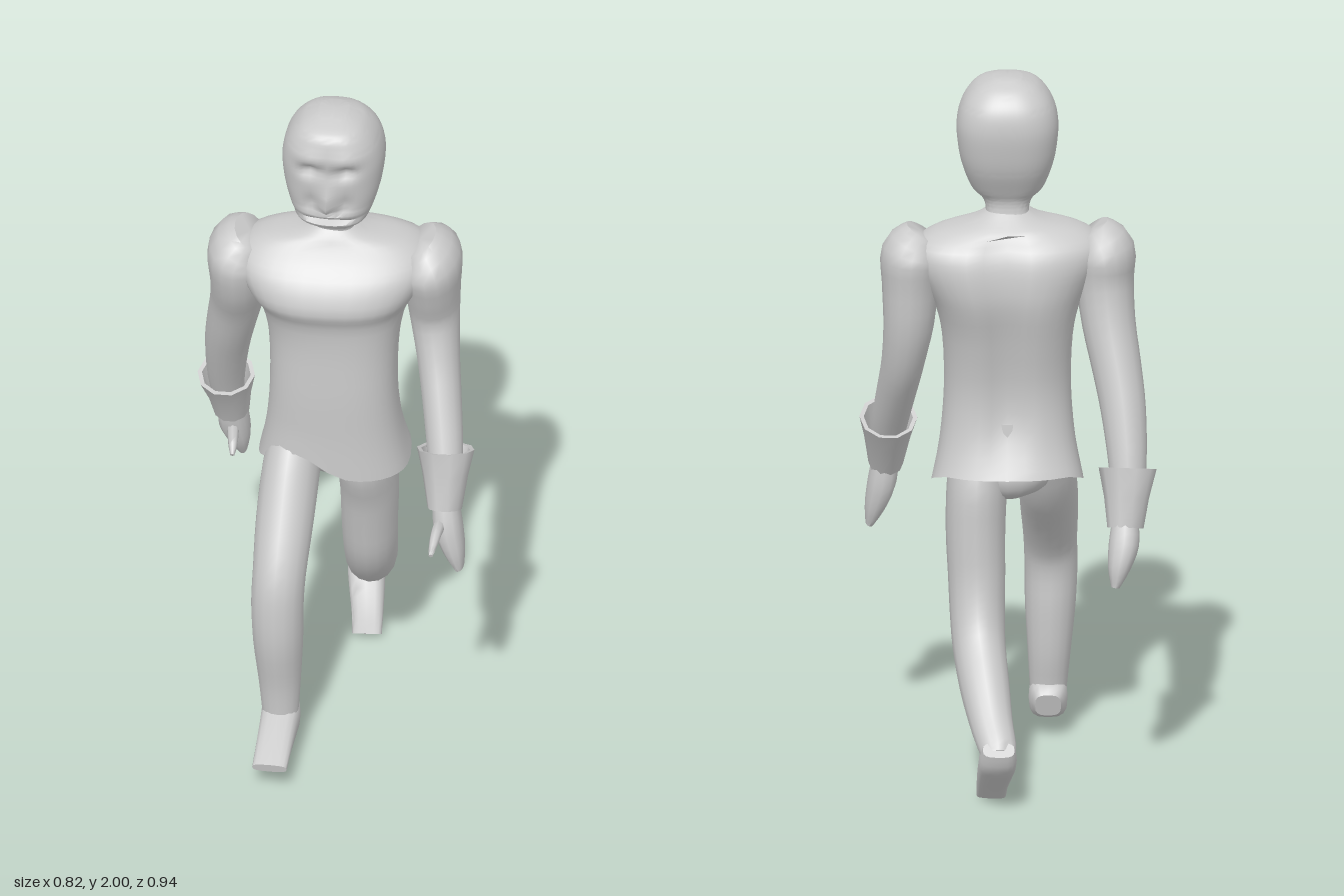
import * as THREE from 'three';
import { toCreasedNormals } from 'three/addons/utils/BufferGeometryUtils.js';

const material = new THREE.MeshStandardMaterial({ color: 0xcccccc });
const openMaterial = new THREE.MeshStandardMaterial({ color: 0xcccccc, side: THREE.DoubleSide });
const bump = (d, width) => Math.exp(-((d / width) ** 2));

// Smoothly resample cross-sections [x, y, z, half width, half depth]
function refine(rows, sub) {
  const out = [];
  for (let i = 0; i < rows.length - 1; i++) {
    const [a, b, c, d] = [-1, 0, 1, 2].map(k => rows[THREE.MathUtils.clamp(i + k, 0, rows.length - 1)]);
    for (let s = 0; s < sub; s++) {
      const t = s / sub;
      out.push(b.map((_, k) => b[k] + 0.5 * t * (c[k] - a[k] + t * (2 * a[k] - 5 * b[k] + 4 * c[k] - d[k]
        + t * (3 * (b[k] - c[k]) + d[k] - a[k])))));
    }
  }
  out.push(rows[rows.length - 1]);
  return out;
}

// Skin over a chain of superellipse sections; axis fixes the ring direction, deform moves vertices
function loft(name, rows, { axis, power = 2, segs = 16, sub = 3, open = false, crease = 0.9, deform } = {}) {
  const sections = refine(rows, sub);
  const last = sections.length - 1;
  const at = i => new THREE.Vector3(...sections[THREE.MathUtils.clamp(i, 0, last)].slice(0, 3));
  const position = [], index = [];
  const addRing = (i, scale) => {
    const t = axis ? new THREE.Vector3(...axis).normalize() : at(i + 1).sub(at(i - 1)).normalize();
    const side = new THREE.Vector3(1, 0, 0).addScaledVector(t, -t.x).normalize();
    const depth = side.clone().cross(t);
    const [, , , w, d] = sections[i];
    for (let j = 0; j < segs; j++) {
      const a = (j / segs) * Math.PI * 2, c = Math.cos(a), s = Math.sin(a);
      const p = at(i)
        .addScaledVector(side, scale * w * Math.sign(c) * Math.abs(c) ** (2 / power))
        .addScaledVector(depth, scale * d * Math.sign(s) * Math.abs(s) ** (2 / power));
      if (deform) deform(p);
      position.push(p.x, p.y, p.z);
    }
  };
  if (!open) addRing(0, 0);
  for (let i = 0; i <= last; i++) addRing(i, 1);
  if (!open) addRing(last, 0);
  const rings = position.length / 3 / segs;
  for (let i = 0; i < rings - 1; i++) {
    for (let j = 0; j < segs; j++) {
      const a = i * segs + j, b = i * segs + (j + 1) % segs;
      index.push(a, a + segs, b, b, a + segs, b + segs);
    }
  }
  const geo = new THREE.BufferGeometry();
  geo.setAttribute('position', new THREE.Float32BufferAttribute(position, 3));
  geo.setIndex(index);
  const mesh = new THREE.Mesh(toCreasedNormals(geo, crease), open ? openMaterial : material);
  mesh.name = name;
  return mesh;
}

// Horizontal section from height, half width, front z and back z
const level = ([y, w, front, back]) => [0, y, (front + back) / 2, w, (front - back) / 2];

function shapeFace(p) {
  if (p.z < 0.04 || p.y < 1.66) return;
  const x = Math.abs(p.x);
  const noseLength = THREE.MathUtils.smoothstep(p.y, 1.725, 1.745) * (1 - THREE.MathUtils.smoothstep(p.y, 1.745, 1.86));
  p.z += 0.03 * bump(x, 0.022) * noseLength;
  p.z -= 0.024 * bump(x - 0.05, 0.027) * bump(p.y - 1.865, 0.02);
  p.z += 0.008 * bump(x - 0.05, 0.05) * bump(p.y - 1.91, 0.025);
  p.z -= 0.012 * bump(x - 0.045, 0.02) * bump(p.y - 1.755, 0.03);
  p.z += 0.012 * bump(x, 0.07) * (bump(p.y - 1.715, 0.009) + bump(p.y - 1.685, 0.01));
  p.z -= 0.018 * bump(x, 0.08) * bump(p.y - 1.7, 0.007);
}

function shapeTunic(p) {
  const hem = THREE.MathUtils.clamp((1.02 - p.y) / 0.19, 0, 1);
  const upper = THREE.MathUtils.smoothstep(p.y, 1.25, 1.45);
  // Hem pulled up over the forward thigh and slightly at the back
  p.y += hem * (p.z > 0 ? 0.075 * bump(p.x + 0.09, 0.09) * Math.min(1, p.z / 0.08) : 0.045 * Math.min(1, -p.z / 0.12));
  // Spine groove and slight shoulder twist
  if (p.z < -0.04) p.z += 0.03 * bump(p.x, 0.045) * (1 - hem) * (p.y < 1.56 ? 1 : 0);
  p.z -= upper * 0.07 * p.x;
}

export function createModel() {
  const model = new THREE.Group();
  const add = (...args) => model.add(loft(...args));

  // Head and neck
  add('head', [
    [1.56, 0.075, 0.06, -0.065], [1.615, 0.06, 0.055, -0.05], [1.65, 0.07, 0.09, -0.05],
    [1.68, 0.1, 0.128, -0.065], [1.74, 0.123, 0.137, -0.095], [1.8, 0.136, 0.142, -0.112],
    [1.87, 0.14, 0.147, -0.121], [1.93, 0.124, 0.144, -0.11], [1.975, 0.088, 0.125, -0.075],
    [1.998, 0.04, 0.06, -0.03],
  ].map(level), { axis: [0, 1, 0], power: 2.6, segs: 48, sub: 6, crease: 1.2, deform: shapeFace });

  // Tunic, open at the hem
  add('tunic', [
    [0.83, 0.21, 0.145, -0.16], [0.95, 0.187, 0.145, -0.13], [1.1, 0.175, 0.15, -0.115],
    [1.25, 0.18, 0.15, -0.14], [1.35, 0.2, 0.16, -0.165], [1.41, 0.23, 0.185, -0.172],
    [1.48, 0.265, 0.16, -0.165], [1.53, 0.26, 0.115, -0.145], [1.57, 0.2, 0.085, -0.105],
    [1.595, 0.1, 0.07, -0.075], [1.62, 0.055, 0.05, -0.045],
  ].map(level), { axis: [0, 1, 0], power: 2.5, segs: 36, open: true, deform: shapeTunic });

  // Pelvis under the tunic
  add('pelvis', [
    [0.79, 0.05, 0.05, -0.06], [0.83, 0.12, 0.09, -0.11], [0.92, 0.165, 0.11, -0.11], [1.02, 0.16, 0.1, -0.1],
  ].map(level), { axis: [0, 1, 0], segs: 20 });

  // Left arm swings forward
  add('leftSleeve', [
    [0.235, 1.555, -0.02, 0.05, 0.07], [0.262, 1.5, -0.025, 0.085, 0.125], [0.268, 1.41, -0.035, 0.078, 0.11],
    [0.272, 1.3, -0.045, 0.07, 0.085], [0.287, 1.18, -0.01, 0.06, 0.078], [0.306, 1.07, 0.05, 0.055, 0.068],
    [0.325, 0.95, 0.12, 0.05, 0.055], [0.335, 0.84, 0.18, 0.04, 0.045],
  ]);
  add('leftCuff', [
    [0.335, 0.81, 0.195, 0.048, 0.055], [0.331, 0.9, 0.157, 0.064, 0.072], [0.328, 0.965, 0.13, 0.08, 0.092],
    [0.328, 0.964, 0.131, 0.068, 0.08], [0.333, 0.86, 0.175, 0.045, 0.05],
  ], { axis: [-0.03, 0.9, -0.38], segs: 10, sub: 1, open: true });
  add('leftHand', [
    [0.335, 0.84, 0.185, 0.035, 0.042], [0.345, 0.76, 0.198, 0.04, 0.056],
    [0.365, 0.685, 0.208, 0.029, 0.05], [0.38, 0.632, 0.214, 0.012, 0.034],
  ], { power: 2.4, segs: 12 });
  add('leftThumb', [
    [0.328, 0.765, 0.2, 0.018, 0.026], [0.325, 0.78, 0.26, 0.016, 0.02],
    [0.322, 0.772, 0.31, 0.013, 0.014], [0.32, 0.758, 0.355, 0.006, 0.006],
  ], { segs: 8 });

  // Right arm swings back
  add('rightSleeve', [
    [-0.235, 1.555, 0.01, 0.05, 0.07], [-0.265, 1.5, 0.005, 0.085, 0.12], [-0.268, 1.41, -0.005, 0.08, 0.11],
    [-0.279, 1.3, -0.045, 0.074, 0.088], [-0.302, 1.18, -0.09, 0.068, 0.078], [-0.32, 1.07, -0.135, 0.062, 0.068],
    [-0.331, 0.93, -0.19, 0.052, 0.055], [-0.328, 0.8, -0.235, 0.04, 0.042],
  ]);
  add('rightCuff', [
    [-0.325, 0.77, -0.245, 0.05, 0.048], [-0.328, 0.85, -0.22, 0.062, 0.06], [-0.331, 0.925, -0.19, 0.08, 0.078],
    [-0.331, 0.924, -0.191, 0.068, 0.066], [-0.328, 0.82, -0.23, 0.044, 0.044],
  ], { axis: [-0.03, 0.94, 0.32], segs: 10, sub: 1, open: true });
  add('rightHand', [
    [-0.325, 0.8, -0.238, 0.035, 0.04], [-0.321, 0.73, -0.262, 0.042, 0.05],
    [-0.307, 0.665, -0.282, 0.031, 0.048], [-0.297, 0.614, -0.295, 0.012, 0.032],
  ], { power: 2.4, segs: 12 });
  add('rightThumb', [
    [-0.32, 0.74, -0.245, 0.018, 0.024], [-0.316, 0.71, -0.215, 0.016, 0.02],
    [-0.312, 0.685, -0.185, 0.012, 0.014], [-0.31, 0.67, -0.163, 0.006, 0.006],
  ], { segs: 8 });

  // Right leg strides forward
  add('rightLeg', [
    [-0.1, 0.95, -0.01, 0.07, 0.09], [-0.11, 0.82, 0.07, 0.08, 0.105], [-0.115, 0.7, 0.165, 0.08, 0.09],
    [-0.118, 0.58, 0.245, 0.074, 0.082], [-0.12, 0.49, 0.268, 0.073, 0.077], [-0.118, 0.38, 0.268, 0.07, 0.077],
    [-0.115, 0.25, 0.26, 0.06, 0.062], [-0.113, 0.16, 0.263, 0.053, 0.05], [-0.112, 0.1, 0.265, 0.048, 0.045],
  ]);
  add('rightFoot', [
    [-0.112, 0.1, 0.2, 0.036, 0.034], [-0.112, 0.108, 0.24, 0.053, 0.056], [-0.112, 0.1, 0.31, 0.052, 0.045],
    [-0.112, 0.09, 0.39, 0.05, 0.027], [-0.112, 0.075, 0.468, 0.048, 0.013],
  ], { power: 3 });

  // Left leg trails with a bent knee
  add('leftLeg', [
    [0.08, 0.95, -0.01, 0.075, 0.1], [0.085, 0.82, -0.035, 0.083, 0.122], [0.088, 0.7, -0.06, 0.082, 0.104],
    [0.085, 0.58, -0.08, 0.079, 0.092], [0.083, 0.48, -0.107, 0.076, 0.09], [0.078, 0.395, -0.158, 0.073, 0.083],
    [0.063, 0.31, -0.25, 0.069, 0.073], [0.045, 0.235, -0.34, 0.06, 0.055], [0.028, 0.185, -0.405, 0.053, 0.044],
    [0.025, 0.165, -0.43, 0.045, 0.036],
  ]);
  add('leftFoot', [
    [0.024, 0.192, -0.45, 0.044, 0.024], [0.026, 0.155, -0.418, 0.052, 0.042], [0.034, 0.105, -0.372, 0.049, 0.035],
    [0.041, 0.058, -0.332, 0.044, 0.024], [0.045, 0.01, -0.297, 0.041, 0.012],
  ], { power: 3 });

  return model;
}
